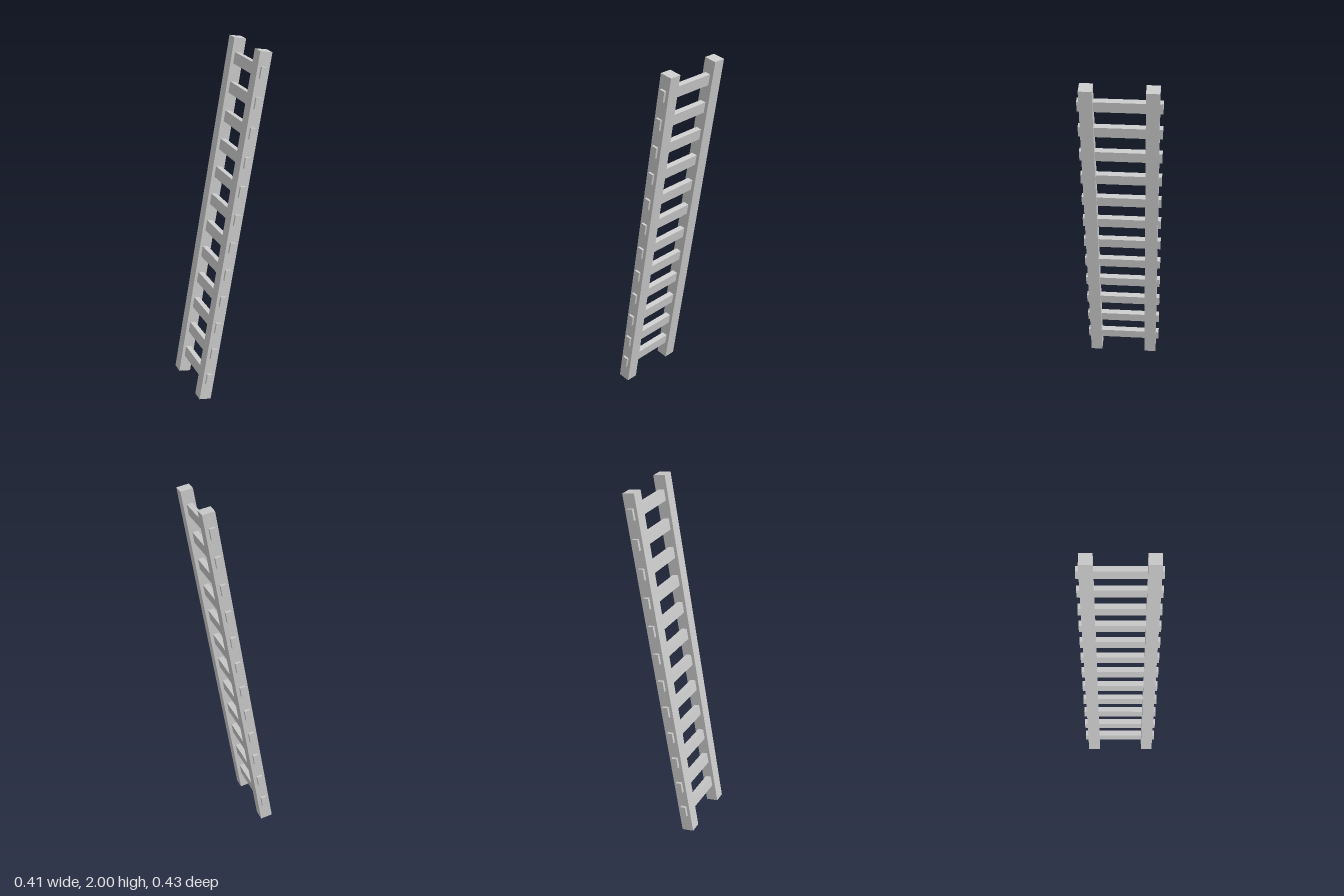
import * as THREE from 'three';

export function createModel() {
  const model = new THREE.Group();
  model.name = 'ladder';
  const material = new THREE.MeshStandardMaterial({ color: 0xcccccc, flatShading: true });

  // Everything is built upright, then the whole ladder leans towards +x
  const ladder = new THREE.Group();
  ladder.name = 'leaningLadder';
  ladder.position.y = 1;
  ladder.rotation.z = -0.1728;
  model.add(ladder);

  const addBeam = (name, w, h, d, x, y, z) => {
    const mesh = new THREE.Mesh(new THREE.BoxGeometry(w, h, d), material);
    mesh.name = name;
    mesh.position.set(x, y, z);
    ladder.add(mesh);
  };

  // Two square side rails
  addBeam('frontRail', 0.069, 2.018, 0.068, 0, 0, 0.167);
  addBeam('backRail', 0.069, 2.018, 0.069, 0, 0, -0.1645);

  // Evenly spaced rungs that poke out through both rails
  const rungCount = 12;
  for (let i = 0; i < rungCount; i++) {
    addBeam(`rung${i + 1}`, 0.032, 0.0615, 0.43, -0.001, -0.875 + i * 0.1614, -0.001);
  }
  return model;
}
